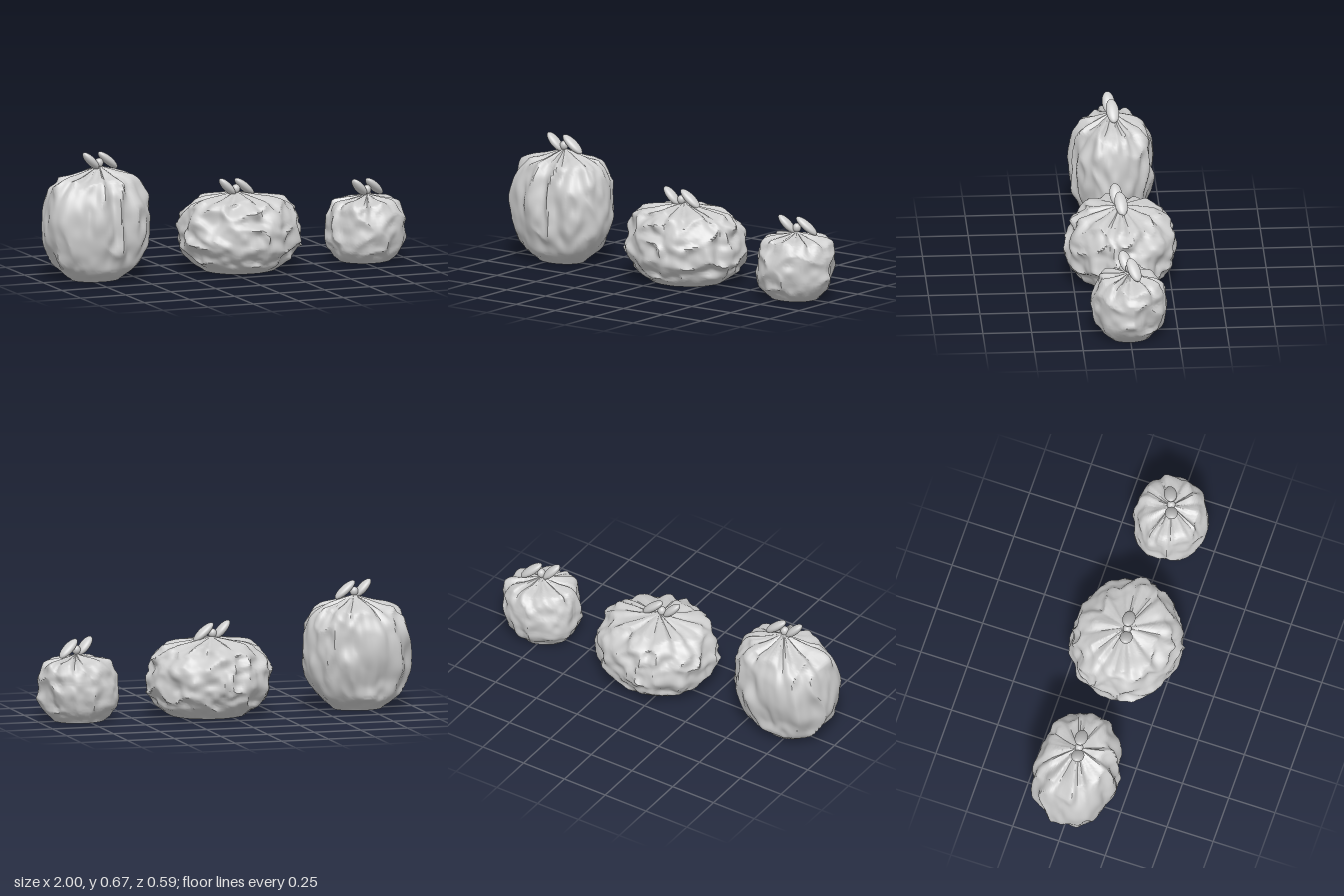
import * as THREE from 'three';
import { mergeVertices, toCreasedNormals } from 'three/addons/utils/BufferGeometryUtils.js';

const plastic = new THREE.MeshStandardMaterial({ color: 0xcccccc });
plastic.name = 'grey plastic';

// Smooth seeded value noise in -1..1
function hash(x, y, z) {
  const s = Math.sin(x * 127.1 + y * 311.7 + z * 74.7) * 43758.5453;
  return (s - Math.floor(s)) * 2 - 1;
}
function noise(x, y, z) {
  const ix = Math.floor(x), iy = Math.floor(y), iz = Math.floor(z);
  const ease = (t) => t * t * (3 - 2 * t);
  const u = ease(x - ix), v = ease(y - iy), w = ease(z - iz);
  let sum = 0;
  for (let i = 0; i < 2; i++) for (let j = 0; j < 2; j++) for (let k = 0; k < 2; k++) {
    sum += hash(ix + i, iy + j, iz + k) * (i ? u : 1 - u) * (j ? v : 1 - v) * (k ? w : 1 - w);
  }
  return sum;
}

// Each profile lists [share of radius, height] from the base edge to the tied top
const bags = [
  {
    name: 'tallBag', x: -0.71, rx: 0.28, rz: 0.217, top: 0.59, apex: 0.02, seed: 3, stretch: 0.5, lump: 0.024,
    profile: [[0.45, 0], [0.76, 0.08], [0.95, 0.2], [1, 0.32], [0.95, 0.42], [0.78, 0.505], [0.35, 0.553], [0, 0.59]],
    loops: [[-0.742, 0.619, 0.015], [-0.642, 0.615, 0]], knot: [-0.692, 0.605, 0.005], yaw: 0.12,
  },
  {
    name: 'wideBag', x: 0.088, rx: 0.325, rz: 0.285, top: 0.405, apex: -0.015, seed: 17, stretch: 1, lump: 0.027,
    profile: [[0.58, 0], [0.84, 0.07], [0.99, 0.15], [0.98, 0.22], [0.89, 0.295], [0.74, 0.35], [0.32, 0.385], [0, 0.405]],
    loops: [[0.012, 0.435, 0.022], [0.115, 0.428, 0.002]], knot: [0.065, 0.42, 0.01], yaw: 0.14,
  },
  {
    name: 'smallBag', x: 0.785, rx: 0.202, rz: 0.183, top: 0.345, apex: 0.013, seed: 41, stretch: 1, lump: 0.02,
    profile: [[0.64, 0], [0.86, 0.05], [0.99, 0.12], [0.98, 0.19], [0.94, 0.25], [0.81, 0.3], [0.4, 0.323], [0, 0.345]],
    loops: [[0.747, 0.383, 0.018], [0.845, 0.377, -0.02]], knot: [0.797, 0.366, 0], yaw: 0.4,
  },
];

// Lathed sack with crumpled sides, pleats towards the tie and a flat base
function sackGeometry(bag) {
  const curve = new THREE.CatmullRomCurve3(bag.profile.map(([r, y]) => new THREE.Vector3(r, y / bag.top, 0)));
  const points = curve.getSpacedPoints(72).map((p) => new THREE.Vector2(Math.max(p.x, 0), Math.max(p.y, 0) * bag.top));
  points.unshift(new THREE.Vector2(0, 0));
  let geo = new THREE.LatheGeometry(points, 128);
  geo.deleteAttribute('uv');
  geo.deleteAttribute('normal');
  geo = mergeVertices(geo, 1e-5);

  const pos = geo.attributes.position;
  const p = new THREE.Vector3();
  for (let i = 0; i < pos.count; i++) {
    p.fromBufferAttribute(pos, i);
    const r = Math.hypot(p.x, p.z), h = p.y / bag.top;
    const angle = Math.atan2(p.z, p.x);
    const X = p.x * bag.rx, Z = p.z * bag.rz, Y = p.y * bag.stretch, s = bag.seed;
    // Rounded lumps separated by narrow creases
    const warp = 0.5 * noise(X * 9 + s, Y * 9, Z * 9);
    const big = 1 - 2.4 * Math.abs(noise(X * 10 + s + warp, Y * 11 + warp, Z * 10 + s));
    const fine = noise(X * 25 + s, Y * 25 + s + warp, Z * 25);
    const broad = noise(X * 5 + s, Y * 5, Z * 5 + s);
    const side = THREE.MathUtils.smoothstep(r, 0.25, 0.85) * THREE.MathUtils.smoothstep(p.y, -0.05, 0.08);
    const push = bag.lump * side * (0.65 * big + 0.45 * fine + 0.5 * broad - 0.1);
    // Gathered pleats on the shoulders
    const wave = noise(Math.cos(angle) * 4 + s, Math.sin(angle) * 4, s + 0.5);
    const shoulder = THREE.MathUtils.smoothstep(h, 0.65, 0.88) * Math.min(1, r * 2.2);
    const pleat = 0.014 * shoulder * (wave + 0.5 * Math.sin(angle * 11 + 4 * wave));
    const dx = r > 0 ? p.x / r : 0, dz = r > 0 ? p.z / r : 0;
    const lift = p.y > 0 ? pleat + push * 0.5 * (h - 0.45) : 0;
    pos.setXYZ(
      i,
      X + dx * (push + pleat * 0.6) + bag.apex * h * h * h,
      Math.max(0, p.y + lift),
      Z + dz * (push + pleat * 0.6),
    );
  }
  return toCreasedNormals(geo, 0.75);
}

function addMesh(group, name, geometry) {
  const mesh = new THREE.Mesh(geometry, plastic);
  mesh.name = name;
  group.add(mesh);
  return mesh;
}

export function createModel() {
  const model = new THREE.Group();
  model.name = 'tiedBags';
  const ball = new THREE.SphereGeometry(1, 32, 20);

  for (const bag of bags) {
    const group = new THREE.Group();
    group.name = bag.name;
    addMesh(group, 'sack', sackGeometry(bag)).position.x = bag.x;

    // Two slanted bow loops, flattened ellipsoids
    bag.loops.forEach((at, i) => {
      const loop = addMesh(group, i ? 'leftLoop' : 'rightLoop', ball);
      loop.position.set(...at);
      loop.scale.set(i ? 0.069 : 0.061, 0.022, 0.033);
      loop.rotation.set(0, bag.yaw, i ? -0.69 : -0.8, 'YZX');
    });

    // Knot where the neck is tied
    const knot = addMesh(group, 'knot', ball);
    knot.position.set(...bag.knot);
    knot.scale.set(0.022, 0.024, 0.022);
    model.add(group);
  }
  return model;
}
